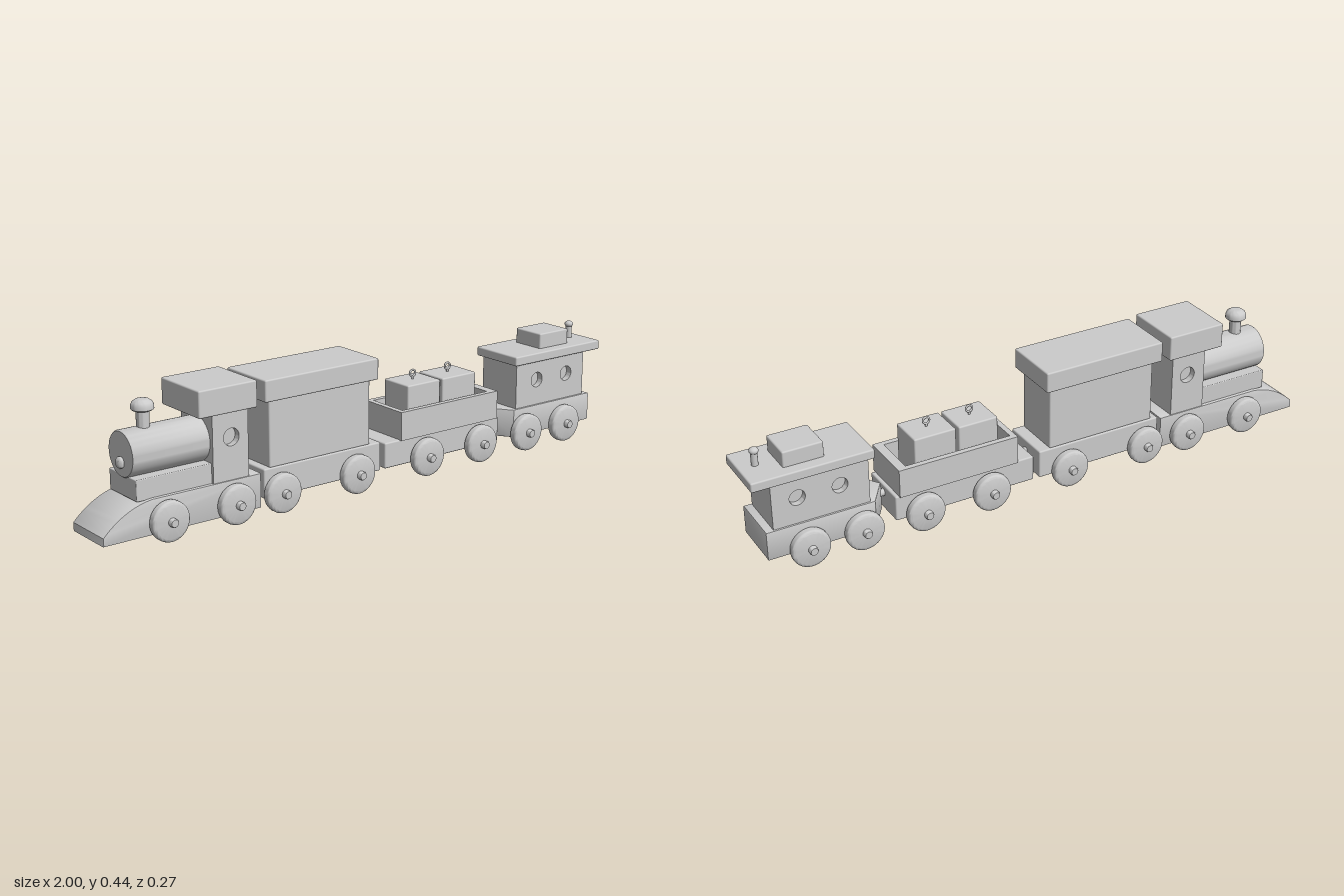
import * as THREE from 'three';
import { RoundedBoxGeometry } from 'three/addons/geometries/RoundedBoxGeometry.js';
import { toCreasedNormals } from 'three/addons/utils/BufferGeometryUtils.js';

const material = new THREE.MeshStandardMaterial({ color: 0xcccccc });

function add(parent, name, geometry, x = 0, y = 0, z = 0) {
  const mesh = new THREE.Mesh(geometry, material);
  mesh.name = name;
  mesh.position.set(x, y, z);
  parent.add(mesh);
  return mesh;
}

// Softly rounded block between x0..x1 and y0..y1, reaching +-half in z
function block(parent, name, x0, x1, y0, y1, half, radius = 0.005) {
  const geometry = new RoundedBoxGeometry(x1 - x0, y1 - y0, half * 2, 2, radius);
  return add(parent, name, geometry, (x0 + x1) / 2, (y0 + y1) / 2);
}

// Turned part from [radius, height] pairs
function turned(points, segments = 32) {
  const lathe = new THREE.LatheGeometry(points.map(p => new THREE.Vector2(...p)), segments);
  return toCreasedNormals(lathe, 0.7);
}

// Block whose two sides have round blind windows
function windowedBody(parent, name, x0, x1, y0, y1, half, windows, r) {
  const depth = 0.022;
  const body = new THREE.Group();
  body.name = name;
  parent.add(body);
  const inner = half - depth;
  add(body, 'core', new THREE.BoxGeometry(x1 - x0, y1 - y0, inner * 2), (x0 + x1) / 2, (y0 + y1) / 2);
  const shape = new THREE.Shape([[x0, y0], [x1, y0], [x1, y1], [x0, y1]].map(p => new THREE.Vector2(...p)));
  for (const [x, y] of windows) shape.holes.push(new THREE.Path().absarc(x, y, r, 0, Math.PI * 2, true));
  const panel = toCreasedNormals(
    new THREE.ExtrudeGeometry(shape, { depth, bevelEnabled: false, curveSegments: 24 }), 0.7);
  add(body, 'sideWall', panel, 0, 0, inner);
  add(body, 'sideWall', panel, 0, 0, -half);
}

// Axle with a rounded wheel on each side
function wheelSet(parent, x) {
  const set = new THREE.Group();
  set.name = 'wheelSet';
  set.position.set(x, 0.064, 0);
  parent.add(set);
  const axle = turned([[0, -0.136], [0.012, -0.136], [0.014, -0.133], [0.014, 0.133], [0.012, 0.136], [0, 0.136]], 20);
  add(set, 'axle', axle).rotation.x = Math.PI / 2;
  const wheel = turned([[0, -0.016], [0.054, -0.016], [0.059, -0.0145], [0.0628, -0.011], [0.064, -0.006],
    [0.064, 0.006], [0.0628, 0.011], [0.059, 0.0145], [0.054, 0.016], [0, 0.016]], 40);
  for (const side of [-1, 1]) add(set, 'wheel', wheel, 0, 0, side * 0.104).rotation.x = Math.PI / 2;
}

function coupling(parent, x0, x1, y) {
  const pin = new THREE.CylinderGeometry(0.012, 0.012, x1 - x0, 20);
  add(parent, 'coupling', pin, (x0 + x1) / 2, y).rotation.z = Math.PI / 2;
}

function car(train, name, wheels) {
  const group = new THREE.Group();
  group.name = name;
  train.add(group);
  wheels.forEach(x => wheelSet(group, x));
  return group;
}

function buildEngine(train) {
  const engine = car(train, 'engine', [-0.785, -0.547]);

  // Base with a curved sloping nose
  const side = new THREE.Shape();
  side.moveTo(-0.997, 0.028);
  side.lineTo(-0.449, 0.028);
  side.lineTo(-0.449, 0.135);
  side.lineTo(-0.83, 0.135);
  side.bezierCurveTo(-0.89, 0.13, -0.95, 0.1, -0.997, 0.052);
  side.closePath();
  const base = new THREE.ExtrudeGeometry(side, {
    depth: 0.172, bevelThickness: 0.003, bevelSize: 0.003, bevelOffset: -0.001, bevelSegments: 2, curveSegments: 14 });
  add(engine, 'engineBase', toCreasedNormals(base, 0.5), 0, 0, -0.086);

  // Boiler lying on its bed
  block(engine, 'boilerBed', -0.877, -0.615, 0.133, 0.2, 0.077, 0.003);
  const boiler = turned([[0, 0], [0.072, 0], [0.072, 0.261], [0.069, 0.265], [0, 0.265]], 48);
  add(engine, 'boiler', boiler, -0.615, 0.262).rotation.z = Math.PI / 2;
  const button = turned([[0.018, 0], [0.018, 0.009], [0.013, 0.015], [0, 0.018]], 24);
  add(engine, 'noseButton', button, -0.878, 0.237).rotation.z = Math.PI / 2;

  // Chimney with a domed cap
  const chimney = turned([[0.02, 0.31], [0.02, 0.383], [0.03, 0.383], [0.035, 0.387], [0.035, 0.398],
    [0.031, 0.408], [0.021, 0.415], [0.01, 0.418], [0, 0.418]]);
  add(engine, 'chimney', chimney, -0.802);

  windowedBody(engine, 'cab', -0.617, -0.489, 0.133, 0.355, 0.086, [[-0.55, 0.272]], 0.028);
  block(engine, 'cabRoof', -0.673, -0.465, 0.353, 0.438, 0.104);
  coupling(engine, -0.455, -0.43, 0.11);
}

function buildBoxCar(train) {
  const boxCar = car(train, 'boxCar', [-0.377, -0.085]);
  block(boxCar, 'boxCarBase', -0.435, 0.021, 0.05, 0.146, 0.089);
  block(boxCar, 'boxCarBody', -0.41, -0.02, 0.144, 0.362, 0.084);
  block(boxCar, 'boxCarRoof', -0.435, 0.001, 0.36, 0.43, 0.103);
  coupling(boxCar, 0.015, 0.045, 0.108);
}

function buildOpenCar(train) {
  const openCar = car(train, 'openCar', [0.205, 0.44]);
  block(openCar, 'openCarBase', 0.041, 0.534, 0.05, 0.136, 0.087);

  // Open box: walls around a rectangular hole
  const rim = new THREE.Shape([[0.103, -0.094], [0.521, -0.094], [0.521, 0.094], [0.103, 0.094]]
    .map(p => new THREE.Vector2(...p)));
  rim.holes.push(new THREE.Path([[0.122, -0.075], [0.122, 0.075], [0.49, 0.075], [0.49, -0.075]]
    .map(p => new THREE.Vector2(...p))));
  const walls = new THREE.ExtrudeGeometry(rim, { depth: 0.096, bevelEnabled: false });
  add(openCar, 'openCarWalls', walls, 0, 0.134).rotation.x = -Math.PI / 2;

  // Crates with lifting rings
  for (const [x0, x1] of [[0.157, 0.295], [0.305, 0.45]]) {
    const mid = (x0 + x1) / 2;
    block(openCar, 'crate', x0, x1, 0.134, 0.302, 0.061);
    add(openCar, 'ringStem', new THREE.CylinderGeometry(0.004, 0.004, 0.012, 12), mid, 0.305);
    add(openCar, 'ring', new THREE.TorusGeometry(0.011, 0.0035, 10, 24), mid, 0.322);
  }
  coupling(openCar, 0.53, 0.565, 0.11);
}

function buildCaboose(train) {
  const caboose = car(train, 'caboose', [0.65, 0.83]);

  // Base tapering to a point at its leading end
  const plan = new THREE.Shape([[0.546, 0], [0.605, -0.087], [0.958, -0.087], [0.958, 0.087], [0.605, 0.087]]
    .map(p => new THREE.Vector2(...p)));
  const base = new THREE.ExtrudeGeometry(plan, {
    depth: 0.09, bevelThickness: 0.004, bevelSize: 0.004, bevelOffset: -0.001, bevelSegments: 2 });
  add(caboose, 'cabooseBase', toCreasedNormals(base, 0.6), 0, 0.053).rotation.x = -Math.PI / 2;

  windowedBody(caboose, 'cabooseBody', 0.617, 0.935, 0.145, 0.307, 0.084, [[0.713, 0.235], [0.852, 0.235]], 0.026);
  block(caboose, 'cabooseRoof', 0.6, 0.998, 0.302, 0.334, 0.099);
  block(caboose, 'roofHatch', 0.747, 0.88, 0.33, 0.386, 0.06);
  add(caboose, 'pipe', new THREE.CylinderGeometry(0.011, 0.011, 0.05, 20), 0.944, 0.355);
  add(caboose, 'pipeCap', new THREE.SphereGeometry(0.015, 20, 14).scale(1, 0.75, 1), 0.944, 0.382);
}

export function createModel() {
  const train = new THREE.Group();
  train.name = 'toyTrain';
  buildEngine(train);
  buildBoxCar(train);
  buildOpenCar(train);
  buildCaboose(train);
  return train;
}
